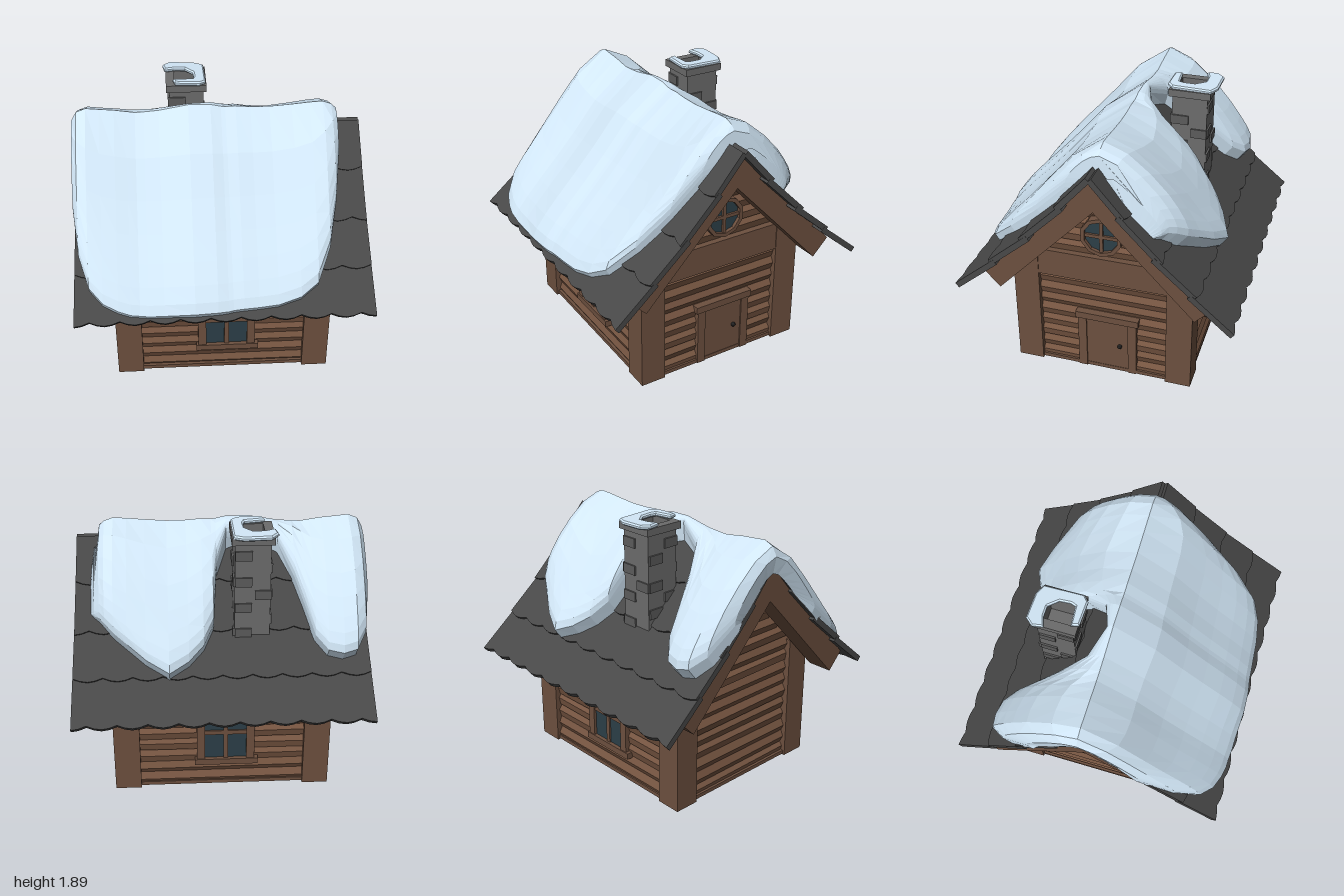
import * as THREE from 'three';

const mat = (color, extra = {}) => new THREE.MeshStandardMaterial({ color, flatShading: true, ...extra });
const M = {
  wood: mat(0x6d503f), log: mat(0x765541), dark: mat(0x3a2a20), tile: mat(0x484848),
  stone: mat(0x6c6c6c), brick: mat(0x5c5c5c), glass: mat(0x2c3f48), knob: mat(0x222222),
  snow: mat(0xd2e7f7, { side: THREE.DoubleSide }),
};

// Roof profile: distance from ridge -> height
const PROFILE = [[0, 1.665], [0.215, 1.4], [0.45, 1.145], [0.69, 0.92], [0.925, 0.705]];
function roofY(z) {
  const a = Math.abs(z);
  let i = 0;
  while (i < 3 && a > PROFILE[i + 1][0]) i++;
  const [z0, y0] = PROFILE[i], [z1, y1] = PROFILE[i + 1];
  return y0 + (y1 - y0) * (a - z0) / (z1 - z0);
}

let seed = 7;
const rnd = () => ((seed = (seed * 16807) % 2147483647) / 2147483647) - 0.5;

function add(parent, name, geo, material, x = 0, y = 0, z = 0) {
  const m = new THREE.Mesh(geo, material);
  m.name = name;
  m.position.set(x, y, z);
  parent.add(m);
  return m;
}
// Box from min/max corners
const box = (parent, name, material, x0, x1, y0, y1, z0, z1) =>
  add(parent, name, new THREE.BoxGeometry(x1 - x0, y1 - y0, z1 - z0), material, (x0 + x1) / 2, (y0 + y1) / 2, (z0 + z1) / 2);
const polygon = pts => new THREE.Shape(pts.map(p => new THREE.Vector2(...p)));
// Extrude a (z, y) outline along x
function extrudeX(pts, x0, x1) {
  const g = new THREE.ExtrudeGeometry(polygon(pts), { depth: x1 - x0, bevelEnabled: false });
  return g.rotateY(Math.PI / 2).translate(x0, 0, 0);
}

// Horizontal six-sided log, long axis on local x
function log(parent, length, y, z) {
  const g = new THREE.CylinderGeometry(0.06, 0.06, length, 6).rotateZ(Math.PI / 2);
  g.scale(1, 1, 0.8);
  const m = add(parent, 'wallLog', g, M.log, 0, y, z + rnd() * 0.012);
  m.rotation.set(rnd() * 0.35 - 0.1, 0, rnd() * 0.016);
}

// Four-pane window facing +z
function makeWindow() {
  const w = new THREE.Group();
  w.name = 'window';
  box(w, 'windowGlass', M.glass, -0.16, 0.16, 0.22, 0.67, -0.05, 0.022);
  for (const s of [-1, 1]) box(w, 'windowJamb', M.wood, s * 0.172 - 0.028, s * 0.172 + 0.028, 0.22, 0.67, -0.05, 0.042);
  box(w, 'windowLintel', M.wood, -0.23, 0.22, 0.655, 0.7, -0.05, 0.048);
  box(w, 'windowSill', M.wood, -0.215, 0.225, 0.19, 0.235, -0.05, 0.05);
  box(w, 'mullion', M.wood, -0.016, 0.016, 0.22, 0.67, -0.03, 0.034);
  box(w, 'crossbar', M.wood, -0.15, 0.15, 0.43, 0.462, -0.03, 0.032);
  return w;
}

function buildWalls(house) {
  // Dark core with gables, corner posts and top plates
  add(house, 'wallCore', extrudeX([[0, 1.58], [-0.56, 0.98], [-0.56, 0.03], [0.56, 0.03], [0.56, 0.98]], -0.67, 0.67), M.dark);
  box(house, 'floor', M.wood, -0.735, 0.735, 0.012, 0.04, -0.615, 0.615);
  for (const sx of [-1, 1]) for (const sz of [-1, 1])
    box(house, 'cornerPost', M.wood, sx * 0.66 - 0.09, sx * 0.66 + 0.09, 0.005, 0.93, sz * 0.542 - 0.09, sz * 0.542 + 0.09);

  // Long walls, each with a window
  for (const s of [0, 1]) {
    const side = new THREE.Group();
    side.name = s ? 'backWall' : 'frontWall';
    side.rotation.y = s * Math.PI;
    for (let i = 0; i < 8; i++) log(side, 1.18, 0.06 + i * 0.094, 0.56);
    box(side, 'topPlate', M.wood, -0.6, 0.6, 0.75, 0.92, 0.5, 0.61);
    const w = makeWindow();
    w.position.set(0.025, 0, 0.588);
    side.add(w);
    house.add(side);
  }

  // Gable walls; local +z faces outward
  for (const s of [1, -1]) {
    const gable = new THREE.Group();
    gable.name = s > 0 ? 'doorGable' : 'plainGable';
    gable.rotation.y = s * Math.PI / 2;
    for (let i = 0; i < 15; i++) {
      const y = 0.06 + i * 0.094;
      log(gable, y < 0.9 ? 0.92 : 2 * (1.47 - y) / 1.06, y, 0.675);
    }
    if (s > 0) {
      box(gable, 'tieBeam', M.wood, -0.58, 0.58, 0.75, 0.95, 0.6, 0.745);
      buildDoor(gable);
      buildRoundWindow(gable);
    }
    house.add(gable);
  }
}

function buildDoor(gable) {
  const door = new THREE.Group();
  door.name = 'door';
  door.position.set(0.03, 0, 0);
  box(door, 'doorPanel', M.wood, -0.15, 0.15, 0.012, 0.44, 0.65, 0.732);
  for (const s of [-1, 1]) box(door, 'doorJamb', M.wood, s * 0.18 - 0.03, s * 0.18 + 0.03, 0.012, 0.44, 0.65, 0.742);
  box(door, 'doorLintel', M.wood, -0.225, 0.225, 0.43, 0.48, 0.65, 0.75);
  add(door, 'doorKnob', new THREE.IcosahedronGeometry(0.017, 1), M.knob, 0.09, 0.23, 0.738);
  gable.add(door);
}

function buildRoundWindow(gable) {
  const w = new THREE.Group();
  w.name = 'roundWindow';
  w.position.set(0.005, 1.13, 0.725);
  const disc = r => new THREE.Path().setFromPoints(Array.from({ length: 10 }, (_, i) => {
    const a = (i + 0.5) / 10 * Math.PI * 2;
    return new THREE.Vector2(Math.cos(a) * r, Math.sin(a) * r);
  }));
  const ring = new THREE.Shape(disc(0.145).getPoints());
  ring.holes.push(disc(0.118));
  add(w, 'roundFrame', new THREE.ExtrudeGeometry(ring, { depth: 0.08, bevelEnabled: false }), M.wood, 0, 0, -0.04);
  add(w, 'roundGlass', new THREE.CylinderGeometry(0.13, 0.13, 0.05, 10).rotateX(Math.PI / 2), M.glass, 0, 0, -0.01);
  box(w, 'roundMullion', M.wood, -0.012, 0.012, -0.125, 0.125, -0.02, 0.03);
  box(w, 'roundCrossbar', M.wood, -0.125, 0.125, -0.012, 0.012, -0.02, 0.03);
  gable.add(w);
}

function buildRoof(house) {
  // Heavy rafters under each overhang, their tops tight against the tiles
  const under = [...PROFILE.slice(0, 4), [0.79, 0.81], [0.675, 0.69], [0, 1.4]];
  const left = under.slice(1, 6).reverse().map(([a, b]) => [-a, b]);
  for (const [x0, x1] of [[0.71, 0.89], [-0.94, -0.76]])
    add(house, 'gableRafters', extrudeX([...under, ...left], x0, x1), M.wood);

  // Overlapping rows of scalloped tiles on both slopes
  for (const s of [0, 1]) {
    const slope = new THREE.Group();
    slope.name = s ? 'backRoof' : 'frontRoof';
    slope.rotation.y = s * Math.PI;
    for (let i = 0; i < 4; i++) {
      const [z0, y0] = PROFILE[i], [z1, y1] = [PROFILE[i + 1][0] + 0.005, PROFILE[i + 1][1] + 0.016];
      const run = z1 - z0, rise = y0 - y1, len = Math.hypot(run, rise);
      const w = 0.96 + 0.009 * i, up = i ? 0.05 : 0, pts = [[w, up], [-w, up]];
      for (let k = 0; k <= 40; k++) {
        const bulge = Math.abs(Math.sin((k / 4 + (i % 2) * 0.5) * Math.PI));
        pts.push([(w + 0.008) * (k / 20 - 1), -len + 0.012 - 0.026 * bulge]);
      }
      const g = new THREE.ExtrudeGeometry(polygon(pts), { depth: 0.04, bevelEnabled: false }).translate(0, 0, -0.014);
      add(slope, 'tileRow', g.rotateX(-Math.atan2(run, rise)), M.tile, 0, y0, z0);
    }
    house.add(slope);
  }
}

function buildChimney(house) {
  const c = new THREE.Group();
  c.name = 'chimney';
  c.position.set(-0.205, 0, -0.38);
  const tube = (hx, hz, y0, y1, name) => {
    const rect = (a, b) => [[-a, -b], [a, -b], [a, b], [-a, b]];
    const shape = polygon(rect(hx, hz));
    shape.holes.push(polygon(rect(0.08, 0.1)));
    add(c, name, new THREE.ExtrudeGeometry(shape, { depth: y1 - y0, bevelEnabled: false }).rotateX(-Math.PI / 2), M.stone, 0, y0, 0);
  };
  tube(0.118, 0.122, 1.0, 1.82, 'chimneyStack');
  tube(0.14, 0.145, 1.8, 1.85, 'chimneyCap');
  box(c, 'flueFloor', M.stone, -0.09, 0.09, 1.6, 1.62, -0.11, 0.11);
  // Proud bricks alternating toward the corners, with some left out
  for (let f = 0; f < 4; f++) {
    const face = new THREE.Group();
    face.name = 'chimneyFace';
    face.rotation.y = f * Math.PI / 2;
    const d = f % 2 ? 0.118 : 0.122;
    for (let r = 0; r < 7; r++) {
      if ((r + f) % 4 === 3) continue;
      const x = (r + f) % 2 ? 0.07 : -0.06;
      box(face, 'brick', M.brick, x - 0.055, x + 0.055, 1.13 + r * 0.093, 1.195 + r * 0.093, d - 0.02, d + 0.012);
    }
    c.add(face);
  }
  // Snow curling round the rim, open on one side
  const rim = polygon([[-0.14, 0.07], [-0.15, 0.13], [-0.11, 0.175], [0.06, 0.17], [0.12, 0.14], [0.125, -0.12],
    [0.09, -0.15], [-0.07, -0.145], [-0.08, -0.11], [0.05, -0.1], [0.065, -0.06], [0.06, 0.02], [0, 0.09], [-0.08, 0.09]]);
  const g = new THREE.ExtrudeGeometry(rim, { depth: 0.012, bevelSize: 0.01, bevelThickness: 0.01, bevelSegments: 1 });
  add(c, 'chimneySnow', g.rotateX(-Math.PI / 2), M.snow, 0, 1.858, 0).rotation.set(-0.03, 0, -0.04);
  house.add(c);
}

function buildSnow(house) {
  // Columns: x, back edge z, front edge z, thickness factor
  const cols = [
    [-0.97, -0.3, 0.2, 0], [-0.99, -0.34, 0.35, 0.55], [-0.955, -0.52, 0.58, 0.85], [-0.89, -0.61, 0.74, 1],
    [-0.8, -0.63, 0.82, 1], [-0.7, -0.61, 0.86, 1], [-0.62, -0.53, 0.88, 0.95], [-0.56, -0.38, 0.885, 0.9], [-0.5, -0.25, 0.89, 0.9],
    [-0.4, -0.12, 0.89, 0.9], [-0.2, -0.06, 0.89, 1], [-0.05, -0.1, 0.885, 1], [0.02, -0.22, 0.88, 0.95],
    [0.05, -0.46, 0.875, 0.95], [0.12, -0.57, 0.87, 1], [0.22, -0.65, 0.865, 1], [0.35, -0.71, 0.855, 1], [0.5, -0.64, 0.82, 1],
    [0.62, -0.56, 0.75, 1], [0.71, -0.5, 0.58, 1], [0.77, -0.45, 0.36, 0.9], [0.805, -0.42, 0.16, 0.75], [0.84, -0.4, -0.1, 0.45], [0.87, -0.38, -0.22, 0]];
  const N = 16, pos = [], idx = [];
  cols.forEach(([x, zb, zf, t], i) => {
    const zc = zf < 0 ? (zb + zf) / 2 : -0.03;
    for (let j = 0; j <= N; j++) {
      const u = (j / N * 2 - 1) * Math.PI / 2, s = Math.sin(u);
      const z = zc + (s > 0 ? s * (zf - zc) : -s * (zb - zc));
      // Thickness is measured from a rounded ridge, along a softened normal
      const base = roofY(Math.hypot(z + 0.03, 0.06 * Math.cos(u))), tilt = THREE.MathUtils.clamp((z + 0.03) / 0.25, -1, 1) * 0.8;
      const thick = 0.195 + (z > 0 ? -0.035 : 0.025) * Math.min(1, Math.abs(z) / 0.25) + 0.015 * Math.sin(x * 7 + 2.6);
      const h = 0.01 + t * thick * Math.pow(Math.max(0, Math.cos(u)), 0.42);
      pos.push(x, base + h * Math.cos(tilt), z + h * Math.sin(tilt));
      if (i && j) {
        const c = i * (N + 1) + j, a = c - N - 2;
        idx.push(a, a + 1, c, a, c, c - 1);
      }
    }
  });
  const g = new THREE.BufferGeometry();
  g.setAttribute('position', new THREE.Float32BufferAttribute(pos, 3));
  g.setIndex(idx);
  g.computeVertexNormals();
  add(house, 'roofSnow', g, M.snow);
}

export function createModel() {
  const model = new THREE.Group();
  model.name = 'snowyCabin';
  // Timber and tiles sit slightly behind the centre line
  const cabin = new THREE.Group();
  cabin.name = 'cabin';
  cabin.position.z = -0.01;
  buildWalls(cabin);
  buildRoof(cabin);
  model.add(cabin);
  buildChimney(model);
  buildSnow(model);
  return model;
}
